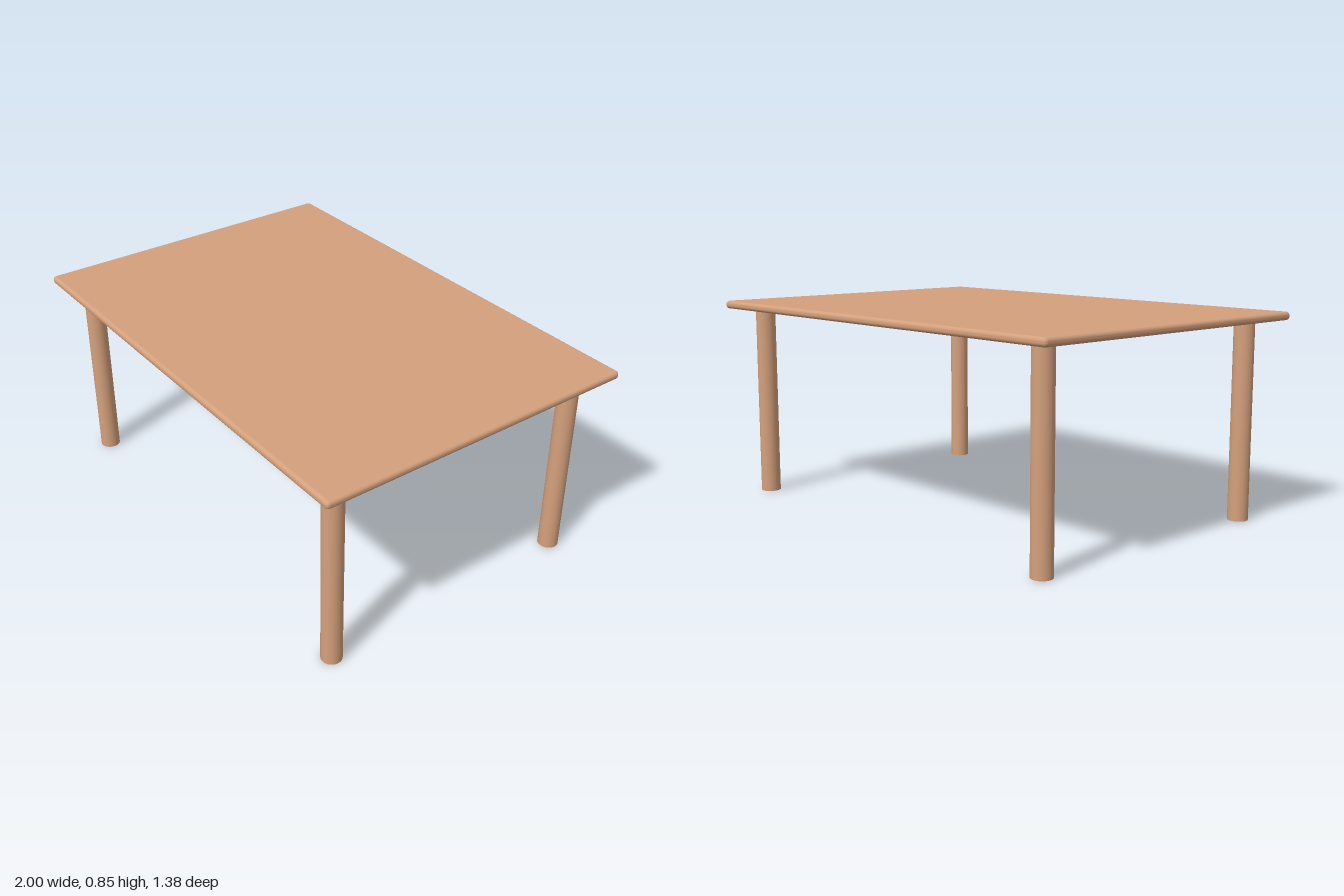
import * as THREE from 'three';
import { RoundedBoxGeometry } from 'three/addons/geometries/RoundedBoxGeometry.js';

const HEIGHT = 0.852, THICKNESS = 0.034, WIDTH = 2, DEPTH = 1.378;
const LEG_RADIUS = 0.042, LEG_X = 0.868, LEG_Z = 0.565;

export function createModel() {
  const table = new THREE.Group();
  table.name = 'table';
  const wood = new THREE.MeshStandardMaterial({ color: 0xd4a07c });

  // Thin rectangular top with softly rounded edges and corners
  const top = new THREE.Mesh(new RoundedBoxGeometry(WIDTH, THICKNESS, DEPTH, 4, 0.015), wood);
  top.name = 'tableTop';
  top.position.y = HEIGHT - THICKNESS / 2;
  table.add(top);

  // Four round legs, mirrored to the corners and meeting the underside
  const legHeight = HEIGHT - THICKNESS;
  const legGeometry = new THREE.CylinderGeometry(LEG_RADIUS, LEG_RADIUS, legHeight, 32);
  for (const [zSide, zName] of [[1, 'front'], [-1, 'back']]) {
    for (const [xSide, xName] of [[1, 'Left'], [-1, 'Right']]) {
      const leg = new THREE.Mesh(legGeometry, wood);
      leg.name = `${zName}${xName}Leg`;
      leg.position.set(xSide * LEG_X, legHeight / 2, zSide * LEG_Z);
      table.add(leg);
    }
  }
  return table;
}
